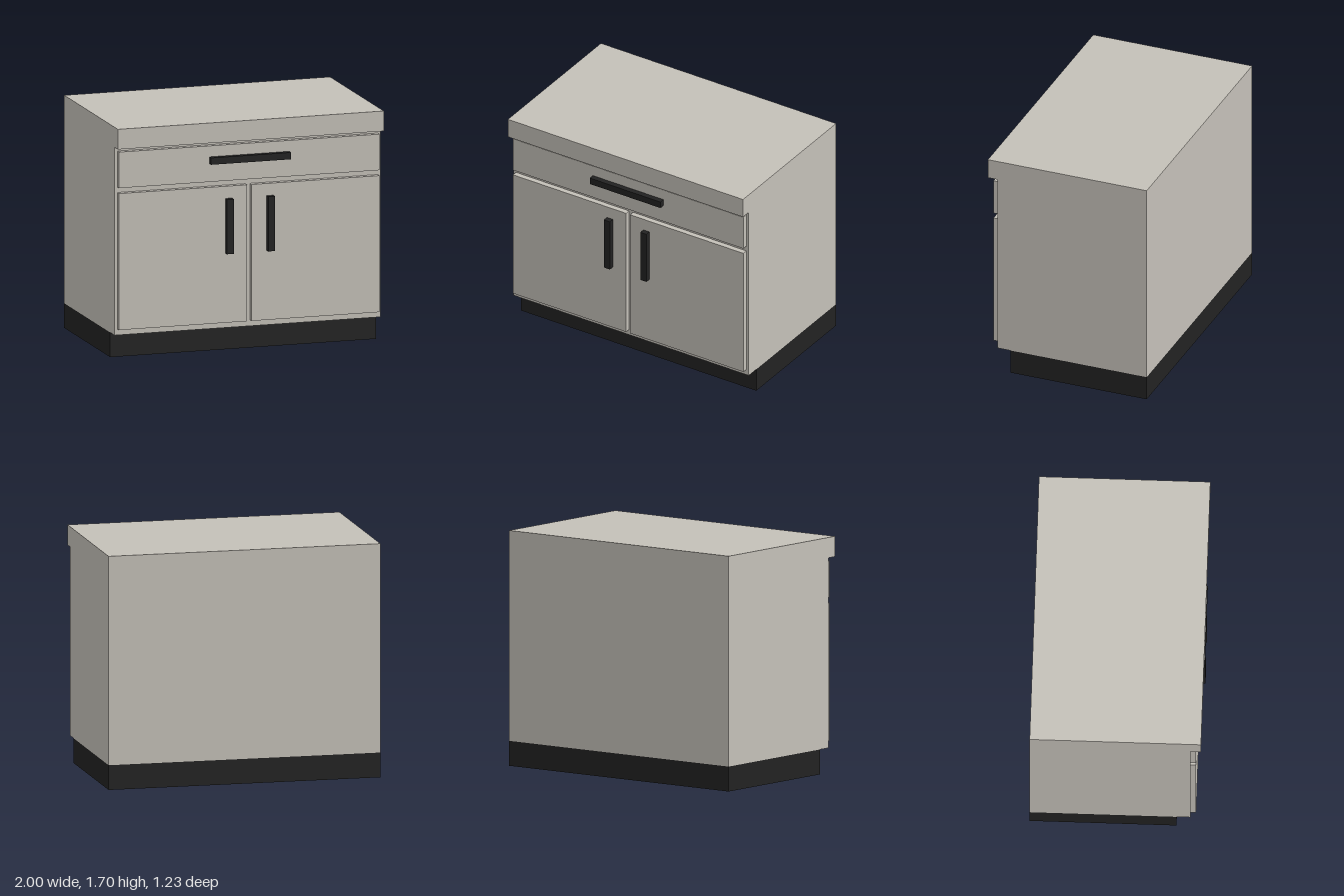
import * as THREE from 'three';

const paint = new THREE.MeshStandardMaterial({ color: 0xc4c0b8 });
paint.name = 'warm grey paint';
const black = new THREE.MeshStandardMaterial({ color: 0x222222 });
black.name = 'matt black';

const BACK = -0.615, CARCASS = 0.535, PANEL = 0.575, HANDLE = 0.615;

export function createModel() {
  const group = new THREE.Group();

  // Box given by its limits on each axis
  const box = (name, material, [x0, x1], [y0, y1], [z0, z1]) => {
    const geometry = new THREE.BoxGeometry(x1 - x0, y1 - y0, z1 - z0);
    const mesh = new THREE.Mesh(geometry, material);
    mesh.position.set((x0 + x1) / 2, (y0 + y1) / 2, (z0 + z1) / 2);
    mesh.name = name;
    group.add(mesh);
  };

  // Carcass and overhanging worktop: one side profile (z, y) swept across the width
  const profile = new THREE.Shape([
    [BACK, 0.18], [CARCASS, 0.18], [CARCASS, 1.553],
    [0.61, 1.553], [0.61, 1.7], [BACK, 1.7],
  ].map(([z, y]) => new THREE.Vector2(z, y)));
  const cabinet = new THREE.ExtrudeGeometry(profile, { depth: 2, bevelEnabled: false });
  cabinet.rotateY(-Math.PI / 2).translate(1, 0, 0);
  const body = new THREE.Mesh(cabinet, paint);
  body.name = 'cabinetBody';
  group.add(body);

  // Recessed plinth
  box('plinth', black, [-1, 1], [0, 0.18], [BACK, 0.435]);

  // Drawer
  box('drawerFront', paint, [-0.98, 0.98], [1.262, 1.525], [CARCASS, PANEL]);
  box('drawerHandle', black, [-0.3, 0.3], [1.395, 1.445], [PANEL, HANDLE]);

  // Pair of doors with upright handles
  for (const [side, s] of [['left', 1], ['right', -1]]) {
    const span = (a, b) => (s > 0 ? [a, b] : [-b, -a]);
    box(side + 'Door', paint, span(0.017, 0.98), [0.225, 1.222], [CARCASS, PANEL]);
    box(side + 'DoorHandle', black, span(0.13, 0.18), [0.733, 1.133], [PANEL, HANDLE]);
  }
  return group;
}
